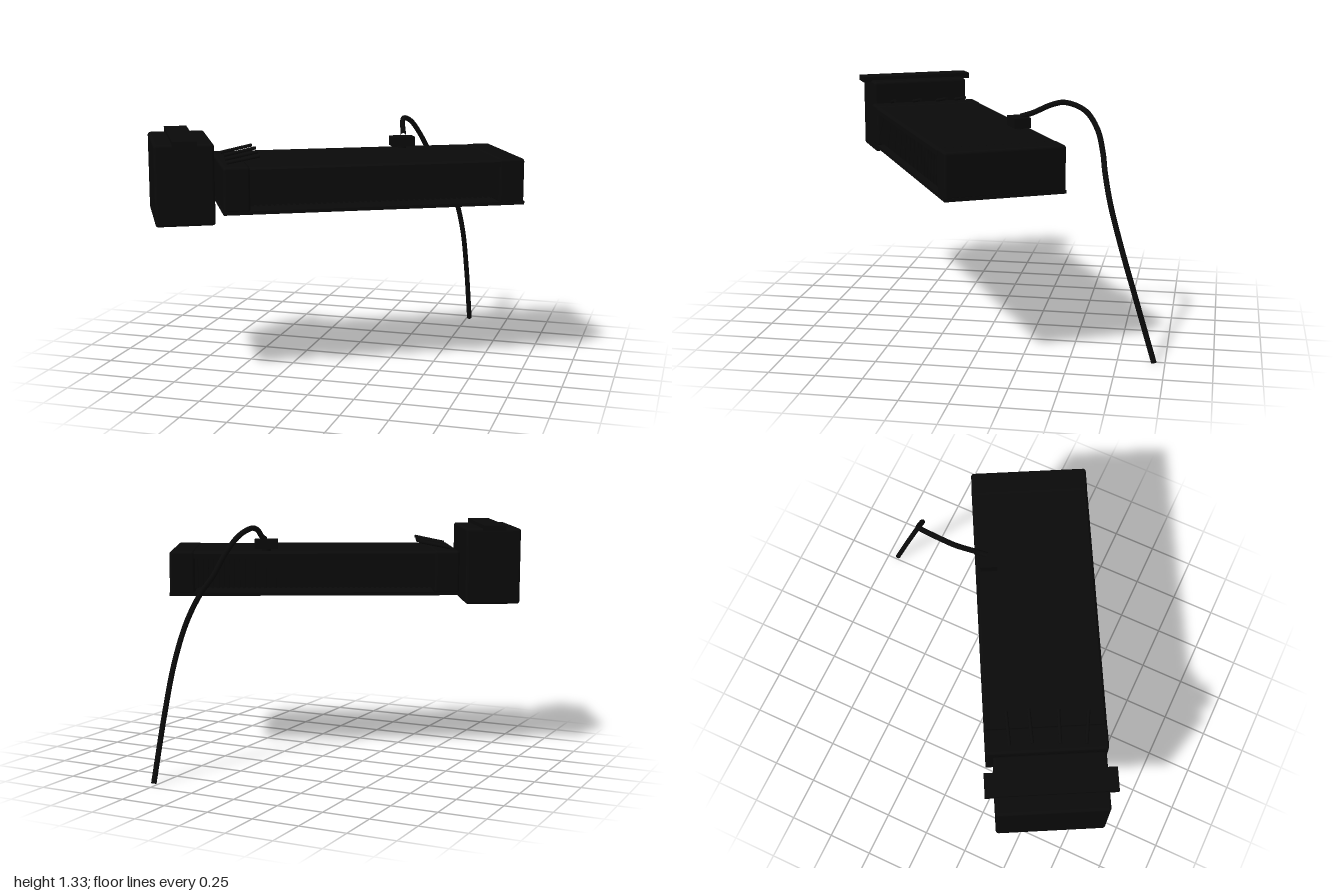
import * as THREE from 'three';
import { RoundedBoxGeometry } from 'three/addons/geometries/RoundedBoxGeometry.js';

const black = new THREE.MeshStandardMaterial({ color: 0x0a0a0a });
black.name = 'black';

function add(parent, name, geometry, x = 0, y = 0, z = 0) {
  const mesh = new THREE.Mesh(geometry, black);
  mesh.name = name;
  mesh.position.set(x, y, z);
  parent.add(mesh);
  return mesh;
}

// Prism along x whose end section has chamfered top edges
function chamferedBar(length, depth, y0, y1, cut) {
  const h = depth / 2;
  const s = new THREE.Shape([[-h, y0], [h, y0], [h, y1 - cut], [h - cut, y1], [-h + cut, y1], [-h, y1 - cut]]
    .map(([x, y]) => new THREE.Vector2(x, y)));
  const g = new THREE.ExtrudeGeometry(s, { depth: length, bevelEnabled: false });
  return g.translate(0, 0, -length / 2).rotateY(Math.PI / 2);
}

export function createModel() {
  const model = new THREE.Group();
  model.name = 'finnedDevice';

  // Everything but the cable lies along a turned axis
  const device = new THREE.Group();
  device.name = 'device';
  device.position.set(0.14, 0, 0.1625);
  device.rotation.y = THREE.MathUtils.degToRad(28);
  model.add(device);

  // Base plate, top cover and end caps
  add(device, 'basePlate', new THREE.BoxGeometry(1.6, 0.018, 0.632), 0, 0.944, 0);
  add(device, 'topCover', chamferedBar(1.33, 0.628, 1.14, 1.178, 0.012));
  for (const side of [-1, 1]) {
    const cap = new RoundedBoxGeometry(0.136, 0.235, 0.63, 2, 0.014);
    add(device, side < 0 ? 'rightEndCap' : 'leftEndCap', cap, side * 0.73, 1.0625, 0);
  }

  // Cooling fins on a solid core, with an open slot beneath
  const fins = new THREE.Group();
  fins.name = 'coolingFins';
  device.add(fins);
  add(fins, 'finCore', new THREE.BoxGeometry(1.33, 0.165, 0.52), 0, 1.0575, 0);
  const finGeometry = new THREE.BoxGeometry(0.013, 0.165, 0.606);
  const count = 46;
  for (let i = 0; i < count; i++) {
    add(fins, 'fin', finGeometry, -0.65 + 1.3 * i / (count - 1), 1.0575, 0);
  }

  // Separate end block with its top strip
  add(device, 'endBlock', new RoundedBoxGeometry(0.304, 0.42, 0.568, 3, 0.015), -0.99, 1.09, 0.004);
  add(device, 'topStrip', new THREE.BoxGeometry(0.122, 0.032, 0.662), -0.99, 1.305, 0.002);

  // Four small pins rising over the top
  const pins = [[-0.672, -0.195, 3], [-0.666, -0.079, 3], [-0.676, 0.068, 0], [-0.684, 0.211, -7]];
  for (const [x, z, yaw] of pins) {
    const pin = new THREE.Group();
    pin.name = 'pin';
    pin.position.set(x, 1.205, z);
    pin.rotation.set(0, THREE.MathUtils.degToRad(yaw), 0.2);
    device.add(pin);
    add(pin, 'pinRod', new THREE.CylinderGeometry(0.009, 0.009, 0.175, 10).rotateZ(Math.PI / 2));
  }

  // Cable plug
  add(device, 'plug', new THREE.BoxGeometry(0.127, 0.053, 0.091), 0.267, 1.216, -0.246);
  add(device, 'plugNeck', new THREE.CylinderGeometry(0.025, 0.025, 0.03, 12), 0.267, 1.185, -0.246);

  // Cable arching over the back edge and hanging down
  const path = new THREE.CatmullRomCurve3([
    [0.265, 1.245, -0.19], [0.25, 1.262, -0.25], [0.22, 1.305, -0.35], [0.215, 1.318, -0.42],
    [0.235, 1.28, -0.53], [0.275, 1.19, -0.6], [0.325, 1.08, -0.635], [0.395, 0.98, -0.656],
    [0.46, 0.83, -0.693], [0.5, 0.62, -0.755], [0.514, 0.36, -0.835], [0.519, 0.006, -0.942],
  ].map((p) => new THREE.Vector3(...p)));
  add(model, 'cable', new THREE.TubeGeometry(path, 90, 0.0145, 12));
  const tip = add(model, 'cableTip', new THREE.CylinderGeometry(0.0145, 0.0145, 0.004, 12), 0.519, 0.006, -0.942);
  tip.quaternion.setFromUnitVectors(new THREE.Vector3(0, 1, 0), path.getTangent(1).negate());

  return model;
}
